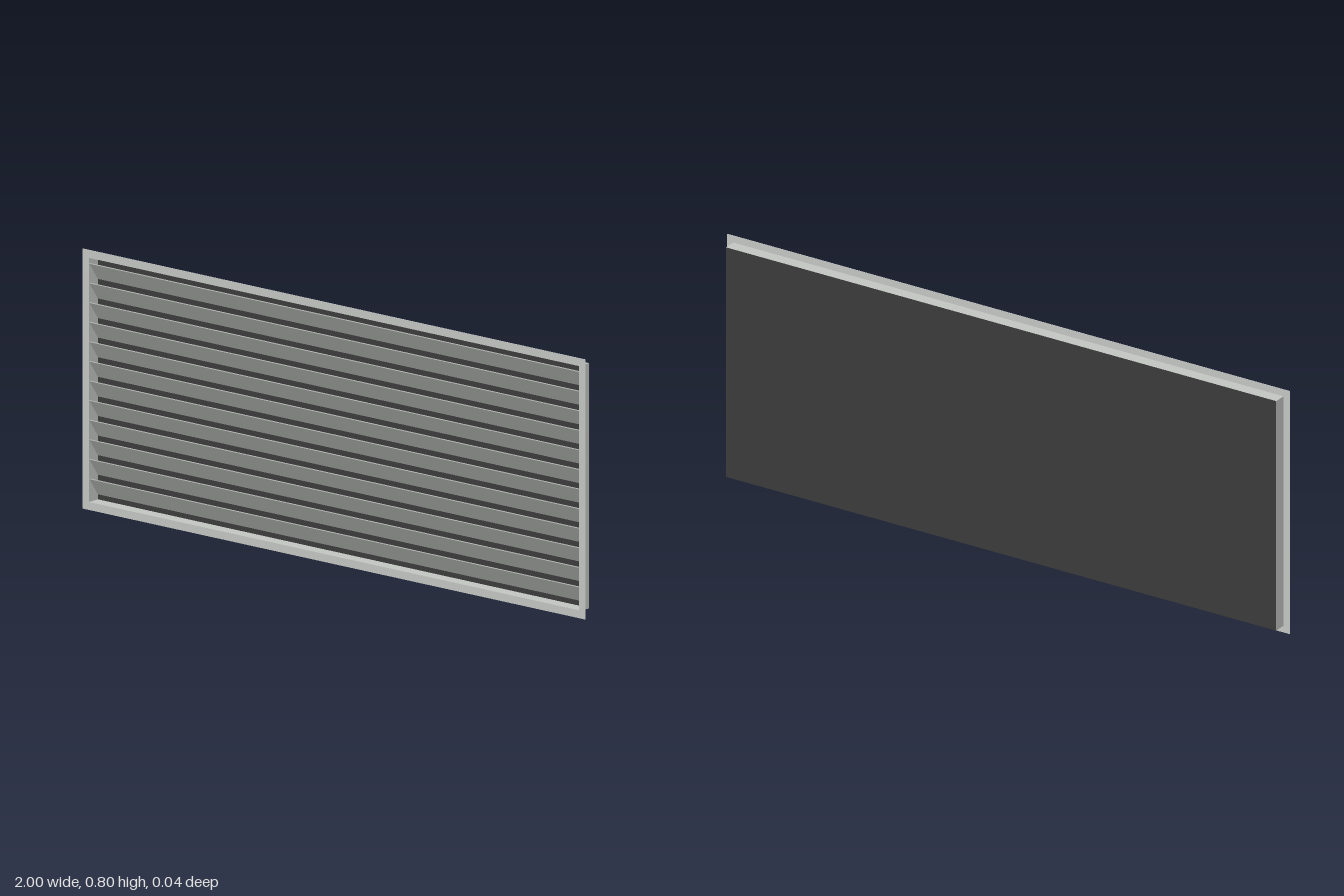
import * as THREE from 'three';

const W = 2, H = 0.797;            // outer flange size
const LIP = 0.0225;                // flange width
const FRONT = 0.0215, BACK = -0.0215;
const WALL = 0.002;

// Rectangular ring extruded along z
function ring(w, h, border, z0, z1) {
  const rect = (T, a, b) => new T([
    new THREE.Vector2(-a, -b), new THREE.Vector2(a, -b),
    new THREE.Vector2(a, b), new THREE.Vector2(-a, b),
  ]);
  const shape = rect(THREE.Shape, w / 2, h / 2);
  shape.holes.push(rect(THREE.Path, w / 2 - border, h / 2 - border));
  const geo = new THREE.ExtrudeGeometry(shape, { depth: z1 - z0, bevelEnabled: false });
  return geo.translate(0, H / 2, z0);
}

export function createModel() {
  const metal = new THREE.MeshStandardMaterial({ color: 0xc2c5c2 });
  metal.name = 'light grey metal';
  const dark = new THREE.MeshStandardMaterial({ color: 0x3b3b3b });
  dark.name = 'dark backing';

  const model = new THREE.Group();
  model.name = 'wallLouver';
  const add = (parent, name, geo, mat) => {
    const mesh = new THREE.Mesh(geo, mat);
    mesh.name = name;
    parent.add(mesh);
    return mesh;
  };

  // Thin face flange and the sleeve behind it
  const sw = W - 2 * LIP, sh = H - 2 * LIP;
  add(model, 'flange', ring(W, H, LIP + WALL, FRONT - 0.0015, FRONT), metal);
  add(model, 'sleeve', ring(sw, sh, WALL, BACK + 0.0015, FRONT - 0.0015), metal);

  // Backing sheet closing the sleeve
  const panel = add(model, 'backPanel', new THREE.BoxGeometry(sw, sh, 0.0015), dark);
  panel.position.set(0, H / 2, BACK + 0.00075);

  // Slats: front edge high, sloping down towards the back
  const slats = new THREE.Group();
  slats.name = 'slats';
  model.add(slats);
  const count = 12, pitch = 0.06, rise = 0.056, zf = 0.0185, zb = -0.0185, t = 0.003;
  const profile = new THREE.Shape([
    new THREE.Vector2(zb, -rise / 2), new THREE.Vector2(zf, rise / 2 - t),
    new THREE.Vector2(zf, rise / 2), new THREE.Vector2(zb, -rise / 2 + t),
  ]);
  const len = sw - 2 * WALL;
  const slatGeo = new THREE.ExtrudeGeometry(profile, { depth: len, bevelEnabled: false });
  slatGeo.translate(0, 0, -len / 2).rotateY(-Math.PI / 2);
  // after the turn the profile's first axis points to +z
  for (let i = 0; i < count; i++) {
    const slat = add(slats, 'slat', slatGeo, metal);
    slat.position.y = H / 2 + (i - (count - 1) / 2) * pitch;
  }
  return model;
}
